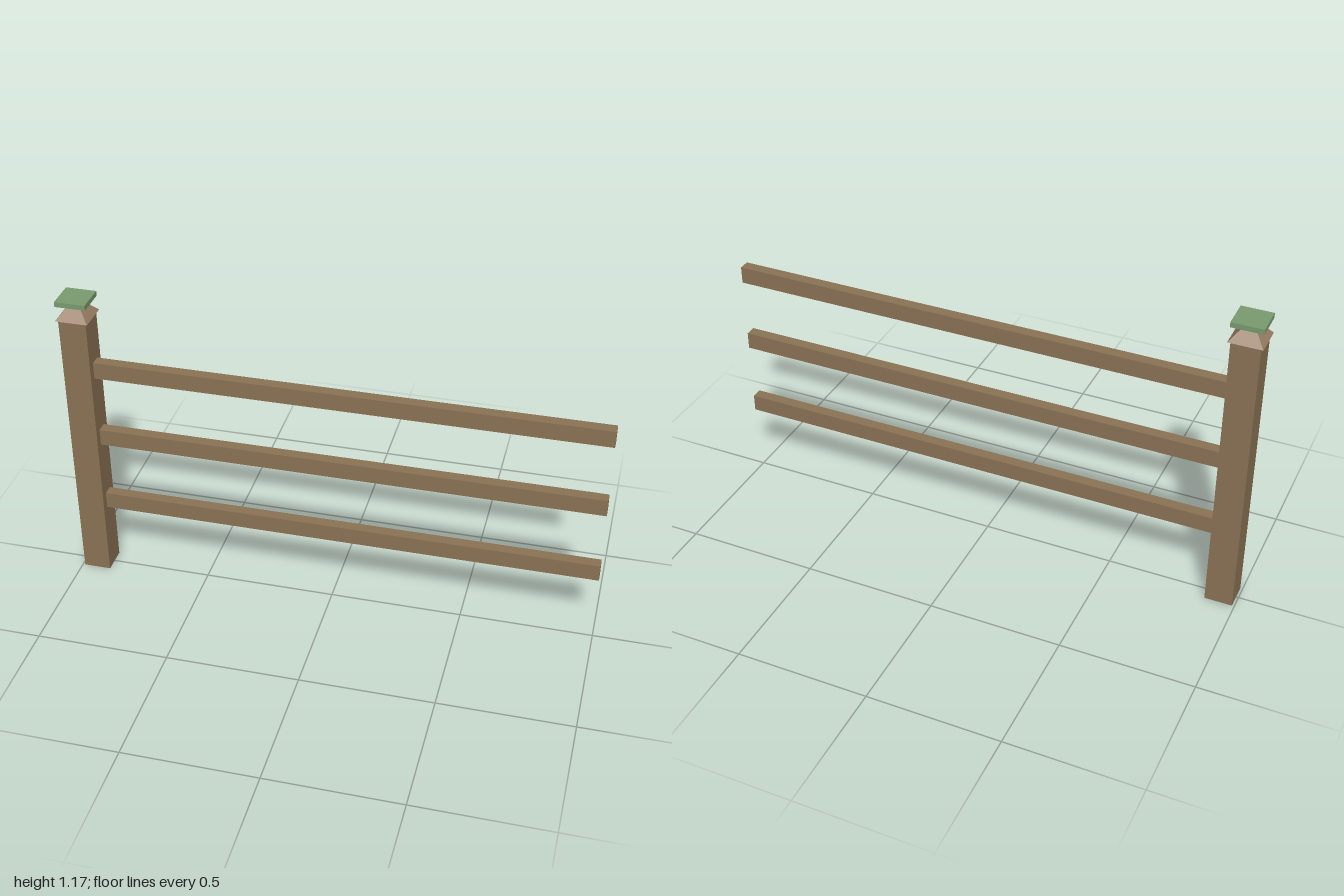
import * as THREE from 'three';

const material = (name, color) => {
  const m = new THREE.MeshStandardMaterial({ color });
  m.name = name;
  return m;
};

export function createModel() {
  const wood = material('brownWood', 0x8b7355);
  const capWood = material('lightWood', 0x987d63);
  const green = material('greenCap', 0x7a9b70);

  const fence = new THREE.Group();
  fence.name = 'fenceSection';
  const postX = -0.939;

  const add = (name, geometry, mat, x, y) => {
    const mesh = new THREE.Mesh(geometry, mat);
    mesh.name = name;
    mesh.position.set(x, y, 0);
    fence.add(mesh);
  };

  // square post standing on the ground
  add('post', new THREE.BoxGeometry(0.104, 1.099, 0.104), wood, postX, 0.5495);

  // four-sided pyramid cap, overhanging the post
  const roof = new THREE.ConeGeometry(0.061 * Math.SQRT2, 0.074, 4).rotateY(Math.PI / 4).toNonIndexed();
  roof.computeVertexNormals();
  add('postCap', roof, capWood, postX, 1.136);

  // thin square plate on the tip
  add('topPlate', new THREE.BoxGeometry(0.115, 0.019, 0.115), green, postX, 1.1655);

  // three rails running out from the post
  const railStart = -0.888, railEnd = 1;
  const rail = new THREE.BoxGeometry(railEnd - railStart, 0.065, 0.042);
  [['lowerRail', 0.3095], ['middleRail', 0.5985], ['upperRail', 0.8875]].forEach(([name, y]) =>
    add(name, rail, wood, (railStart + railEnd) / 2, y));

  return fence;
}
